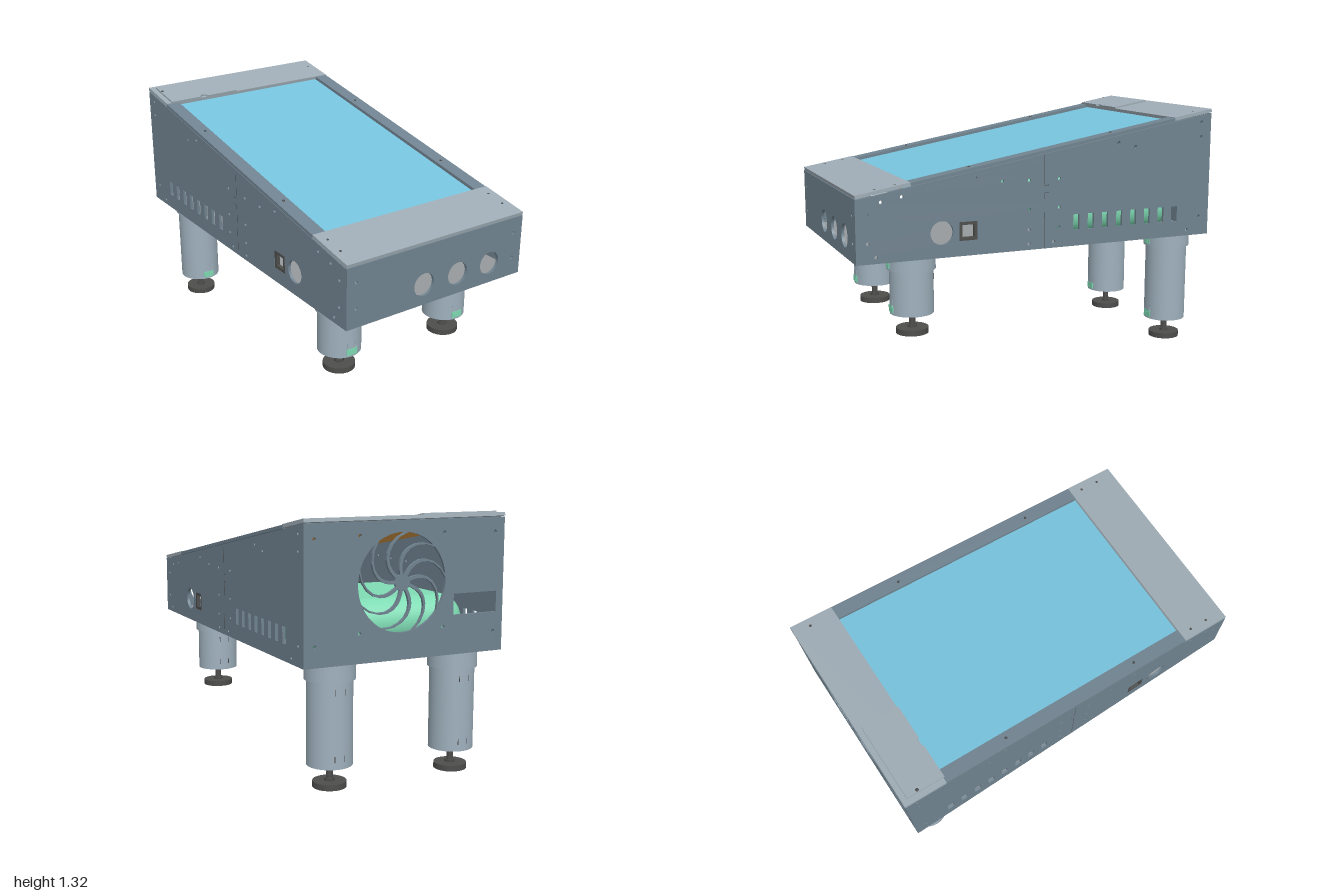
import * as THREE from 'three';
import { RoundedBoxGeometry } from 'three/addons/geometries/RoundedBoxGeometry.js';

const mat = (name, color) => {
  const m = new THREE.MeshStandardMaterial({ color });
  m.name = name;
  return m;
};

export function createModel() {
  const root = new THREE.Group();
  root.name = 'slopedTable';
  const body = mat('slateGrey', 0x718491);
  const plate = mat('lightGrey', 0x9fadb6);
  const pipe = mat('paleBlueGrey', 0x9fb1bd);
  const dark = mat('charcoal', 0x4e4e4d);
  const floorMat = mat('midGrey', 0x979a9d);
  const glass = mat('screenBlue', 0x77c4de);
  const mint = mat('mint', 0x7fdcb4);
  const amber = mat('amber', 0xdc9c48);

  // Helpers
  const add = (parent, name, geo, m, x = 0, y = 0, z = 0) => {
    const mesh = new THREE.Mesh(geo, m);
    mesh.name = name;
    mesh.position.set(x, y, z);
    parent.add(mesh);
    return mesh;
  };
  const box = (p, name, m, w, h, d, x, y, z) => add(p, name, new THREE.BoxGeometry(w, h, d), m, x, y, z);
  const cyl = (p, name, m, r, y0, y1, x, z, n = 40) =>
    add(p, name, new THREE.CylinderGeometry(r, r, y1 - y0, n), m, x, (y0 + y1) / 2, z);
  const poly = (pts) => new THREE.Shape(pts.map(([x, y]) => new THREE.Vector2(x, y)));
  const rect = (x, y, w, h) => poly([[x - w / 2, y - h / 2], [x + w / 2, y - h / 2], [x + w / 2, y + h / 2], [x - w / 2, y + h / 2]]);
  const disc = (x, y, r) => new THREE.Path().absarc(x, y, r, 0, Math.PI * 2, true);
  const panel = (shape, holes, depth = 0.015, curveSegments = 24) => {
    shape.holes.push(...holes);
    return new THREE.ExtrudeGeometry(shape, { depth, bevelEnabled: false, curveSegments });
  };
  const screws = (list) => list.map(([x, y]) => disc(x, y, 0.009));

  const W = 0.55, Y0 = 0.624, T = 0.015, SLOPE = 0.175;
  const wallTop = (z) => 1.117 - SLOPE * z;

  // Side walls with round port, square socket, slots and screw holes
  const sideHoles = () => [
    disc(0.56, 0.75, 0.06),
    rect(0.42, 0.75, 0.096, 0.096),
    ...Array.from({ length: 8 }, (_, i) => rect(-0.185 - i * 0.0852, 0.75, 0.036, 0.084)),
    ...screws([[0.94, 0.865], [0.87, 0.925], [0.765, 0.945], [0.94, 0.725], [0.9, 0.655], [0.38, 1.015],
      [0.235, 0.99], [0.085, 0.985], [0.085, 0.835], [0.085, 0.73], [0.085, 0.655], [-0.085, 0.985],
      [-0.085, 0.835], [-0.085, 0.73], [-0.055, 0.655], [-0.43, 1.155], [-0.53, 1.13], [-0.94, 1.245],
      [-0.94, 1.165], [-0.94, 0.725], [-0.865, 0.655]]),
  ];
  for (const s of [1, -1]) {
    const shape = poly([[-0.985, Y0], [0.985, Y0], [0.985, wallTop(0.985)], [-0.985, wallTop(-0.985)]]);
    const wall = add(root, s > 0 ? 'leftWall' : 'rightWall', panel(shape, sideHoles()), body, s > 0 ? W : -W + T);
    wall.rotation.y = -Math.PI / 2;
    const frame = add(root, 'socketFrame', panel(rect(0.42, 0.75, 0.096, 0.096), [rect(0.42, 0.75, 0.064, 0.064)], 0.02),
      dark, s > 0 ? W - 0.001 : -W + 0.021);
    frame.rotation.y = -Math.PI / 2;
    // Stepped joint between front and rear halves
    for (const [h, d, y, z] of [[0.29, 0.002, 0.769, 0], [0.003, 0.024, 0.916, -0.012], [0.003, 0.024, 0.956, -0.012], [0.16, 0.002, 1.035, 0]])
      box(root, 'wallSeam', dark, 0.001, h, d, s * W, y, z);
  }

  // Front wall with three round ports
  const frontTop = wallTop(1) + 0.004, backTop = wallTop(-1);
  add(root, 'frontWall', panel(rect(0, (Y0 + frontTop) / 2, 2 * W, frontTop - Y0), [
    ...[-0.087, 0.127, 0.338].map((x) => disc(x, 0.734, 0.061)),
    ...screws([[-0.495, 0.862], [0.492, 0.862], [-0.495, 0.724], [0.492, 0.724]]),
  ]), body, 0, 0, 0.985);

  // Back wall with fan opening and vent
  const fan = { x: 0.03, y: 0.997, r: 0.24 };
  add(root, 'backWall', panel(rect(0, (Y0 + backTop) / 2, 2 * W, backTop - Y0), [
    disc(fan.x, fan.y, fan.r),
    rect(-0.385, 0.873, 0.25, 0.105),
    ...screws([[0.495, 1.22], [-0.495, 1.22], [0.495, 0.724], [-0.495, 0.724],
      [fan.x + 0.23, 1.227], [fan.x - 0.23, 1.227], [fan.x + 0.23, 0.767], [fan.x - 0.23, 0.767]]),
  ], T, 40), body, 0, 0, -1);

  // Swirled fan grille
  const grille = new THREE.Group();
  grille.name = 'fanGrille';
  grille.position.set(fan.x, fan.y, -1);
  root.add(grille);
  const rim = (side) => Array.from({ length: 9 }, (_, i) => {
    const t = i / 8, r = 0.035 + t * 0.21, a = 1.0 * t * t + side * 0.008 / r;
    return [r * Math.cos(a), r * Math.sin(a)];
  });
  const spoke = panel(poly([...rim(-1), ...rim(1).reverse()]), []);
  for (let i = 0; i < 9; i++) add(grille, 'grilleSpoke', spoke, body).rotation.z = (i * Math.PI * 2) / 9;
  add(grille, 'grilleHub', panel(new THREE.Shape().absarc(0, 0, 0.04, 0, Math.PI * 2), []), body);

  // Floor with cable slots and joint line
  const floor = add(root, 'floor', panel(rect(0, 0, 2 * W - 2 * T, 1.97),
    [[0.4, -0.07], [-0.4, -0.14], [0.38, -0.67], [-0.38, -0.67]].map(([x, z]) => rect(x, z, 0.075, 0.025))), floorMat, 0, Y0 + T);
  floor.rotation.x = Math.PI / 2;
  box(root, 'floorSeam', dark, 1.06, 0.001, 0.003, 0, Y0, 0.01);

  // Rounded housing inside the cabinet
  add(root, 'innerHousing', new RoundedBoxGeometry(0.9, 0.25, 0.75, 8, 0.124), mint, 0, 0.768, -0.49);

  // Sloped lid: end plates, side rails, screen and latch cover
  const lid = new THREE.Group();
  lid.name = 'lid';
  lid.position.y = 1.14;
  lid.rotation.x = Math.atan(SLOPE);
  root.add(lid);
  const k = Math.hypot(1, SLOPE);
  const slab = (name, m, x0, x1, z0, z1, y0, y1) =>
    box(lid, name, m, x1 - x0, y1 - y0, (z1 - z0) * k, (x0 + x1) / 2, (y0 + y1) / 2, ((z0 + z1) / 2) * k);
  slab('rearLidPlate', plate, -W, W, -1, -0.77, -0.018, 0);
  slab('frontLidPlate', plate, -W, W, 0.72, 1, -0.018, 0);
  for (const s of [1, -1]) {
    slab('sideRail', body, s > 0 ? 0.475 : -W, s > 0 ? W : -0.475, -0.77, 0.72, -0.02, -0.003);
    for (const z of [-0.91, -0.4, 0.4, 0.785, 0.89]) cyl(lid, 'lidScrew', dark, 0.007, -0.006, 0.0005, s * 0.508, z * k, 12);
  }
  slab('screen', glass, -0.5, 0.5, -0.8, 0.75, -0.034, -0.02);
  slab('screenBacking', amber, -0.5, 0.5, -0.7, 0.75, -0.045, -0.036);

  // Latch cover with a thumb notch in its front edge
  const cover = poly([[-0.52, 0.765 * k], [-0.335, 0.765 * k]]);
  cover.absarc(-0.31, 0.765 * k, 0.022, Math.PI, 0, true);
  for (const [x, z] of [[-0.098, 0.765], [-0.098, 0.972], [-0.52, 0.972]]) cover.lineTo(x, z * k);
  add(lid, 'latchCover', panel(cover, [], 0.01), plate).rotation.x = -Math.PI / 2;
  cyl(lid, 'coverScrew', dark, 0.009, 0.006, 0.0105, -0.508, -0.91 * k, 12);

  // Four legs with collars, clips and levelling feet
  const leg = (name, x, z, bottom, foot) => {
    const g = new THREE.Group();
    g.name = name;
    g.position.set(x, 0, z);
    root.add(g);
    cyl(g, 'legCollar', pipe, 0.126, 0.538, Y0, 0, 0, 48);
    cyl(g, 'legTube', pipe, 0.114, bottom, 0.54, 0, 0, 48);
    cyl(g, 'footRod', dark, 0.017, foot + 0.02, bottom + 0.01, 0, 0, 16);
    cyl(g, 'footNut', dark, 0.026, foot + 0.028, foot + 0.042, 0, 0, 6);
    cyl(g, 'footPad', dark, 0.084, foot, foot + 0.03, 0, 0);
    // Clips near the collar and the lower end
    box(g, 'collarClip', mint, 0.048, 0.027, 0.01, 0, 0.563, 0.122);
    box(g, 'collarClipCatch', mint, 0.024, 0.016, 0.004, 0, 0.563, 0.126);
    box(g, 'tubeClip', mint, 0.062, 0.036, 0.012, 0, bottom + 0.028, 0.109);
    box(g, 'tubeClipCatch', mint, 0.034, 0.022, 0.004, 0, bottom + 0.026, 0.114);
    // Slits front and back
    for (const sx of [1, -1]) {
      box(g, 'frontSlit', pipe, 0.004, 0.04, 0.004, sx * 0.026, bottom + 0.062, 0.11);
      box(g, 'lowerSlit', dark, 0.003, 0.03, 0.004, sx * 0.026, bottom + 0.05, -0.1105);
      box(g, 'upperSlit', dark, 0.003, 0.03, 0.004, sx * 0.026, 0.49, -0.1105);
    }
  };
  for (const s of [1, -1]) {
    const side = s > 0 ? 'Left' : 'Right';
    leg('front' + side + 'Leg', s * 0.348, 0.658, 0.306, 0.197);
    leg('rear' + side + 'Leg', s * 0.348, -0.864, 0.114, 0);
  }
  return root;
}
